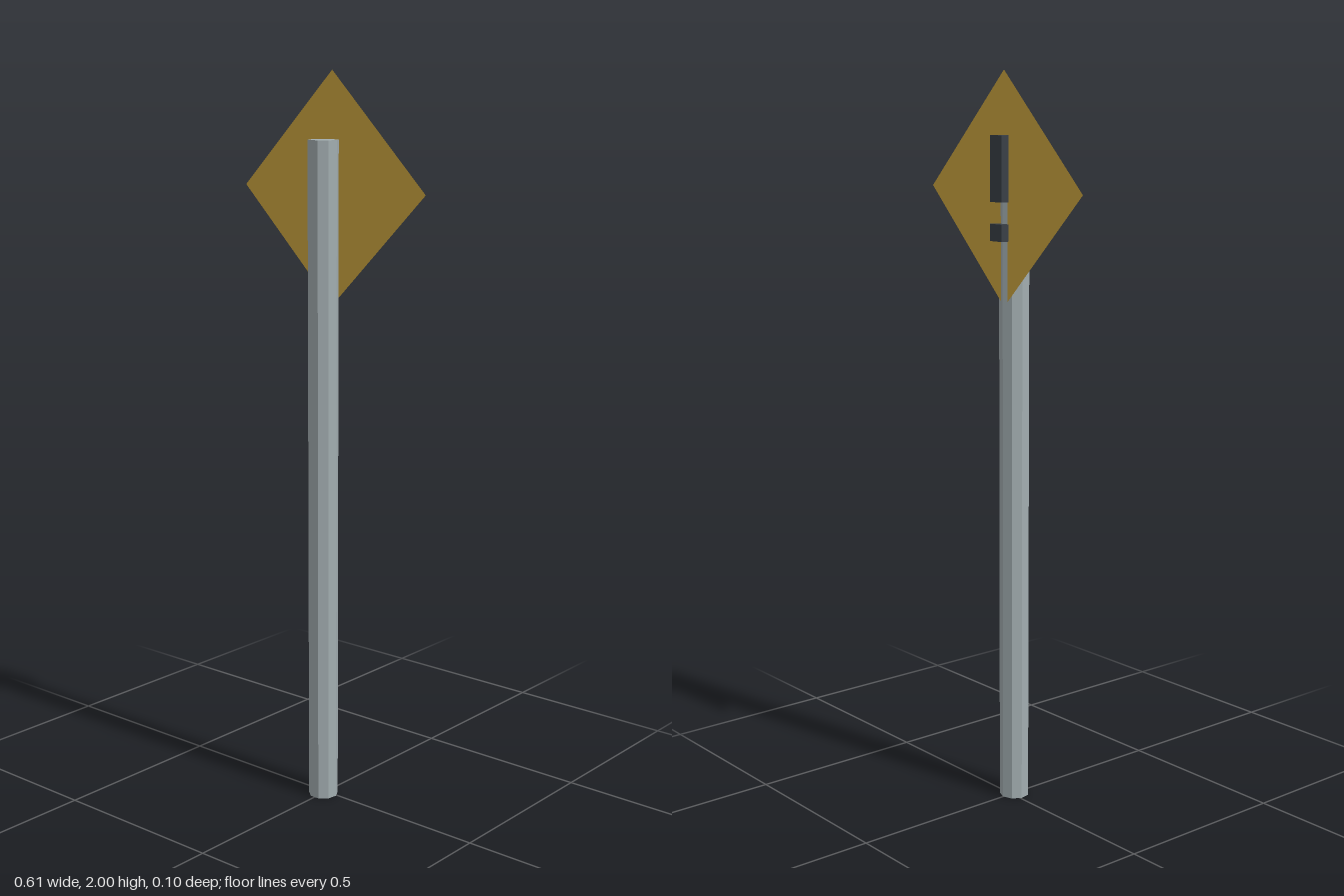
import * as THREE from 'three';

export function createModel() {
  const model = new THREE.Group();
  const metal = new THREE.MeshStandardMaterial({ color: 0xa2adb0, flatShading: true });
  metal.name = 'galvanised grey';
  const yellow = new THREE.MeshStandardMaterial({ color: 0xd0a840, side: THREE.DoubleSide });
  yellow.name = 'sign yellow';
  const dark = new THREE.MeshStandardMaterial({ color: 0x3a4047 });
  dark.name = 'dark grey';

  function add(name, geometry, material, x, y, z) {
    const mesh = new THREE.Mesh(geometry, material);
    mesh.name = name;
    mesh.position.set(x, y, z);
    model.add(mesh);
    return mesh;
  }

  // Nine-sided post with one corner pointing to the back
  const postHeight = 1.823;
  const post = add('post', new THREE.CylinderGeometry(0.0412, 0.0412, postHeight, 9),
    metal, 0, postHeight / 2, 0.0112);
  post.rotation.y = Math.PI;

  // Thin diamond panel set just inside the back of the post
  const side = 0.307 * Math.SQRT2;
  const panel = add('signPanel', new THREE.PlaneGeometry(side, side), yellow, 0, 1.693, -0.025);
  panel.rotation.z = Math.PI / 4;

  // Two blocks on the back of the post, given by bottom and top heights
  for (const [name, bottom, top] of [['upperBlock', 1.662, 1.834], ['lowerBlock', 1.56, 1.605]]) {
    add(name, new THREE.BoxGeometry(0.048, top - bottom, 0.023), dark,
      0, (bottom + top) / 2, -0.0415);
  }
  return model;
}
